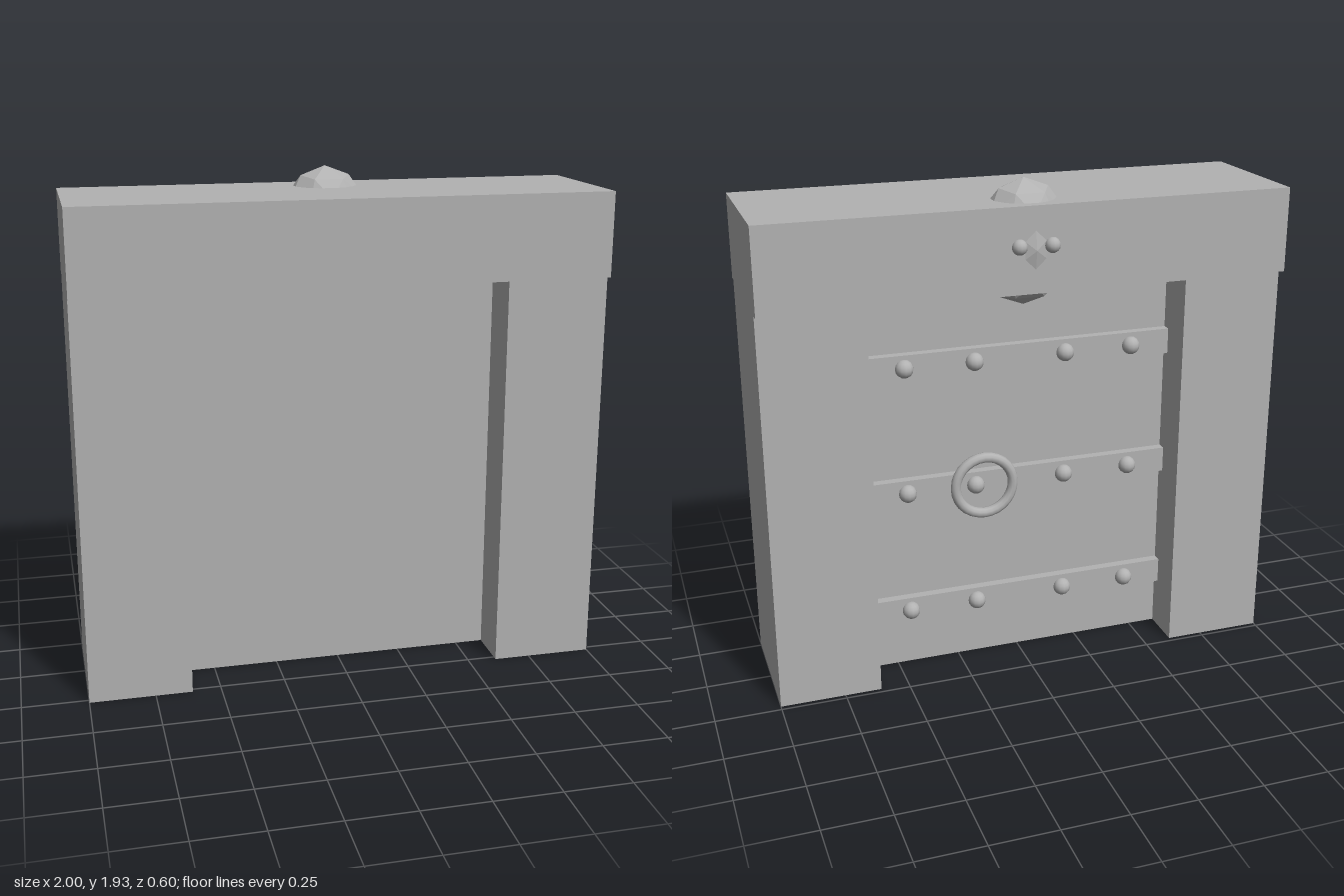
import * as THREE from 'three';

const stone = new THREE.MeshStandardMaterial({ color: 0xb2b2b2 });
stone.name = 'plain grey';
const faceted = stone.clone();
faceted.flatShading = true;

export function createModel() {
  const group = new THREE.Group();

  const add = (name, geometry, x, y, z, material = stone) => {
    const mesh = new THREE.Mesh(geometry, material);
    mesh.name = name;
    mesh.position.set(x, y, z);
    group.add(mesh);
    return mesh;
  };
  // Box given by its limits on each axis
  const box = (name, [x0, x1], [y0, y1], [z0, z1]) =>
    add(name, new THREE.BoxGeometry(x1 - x0, y1 - y0, z1 - z0),
      (x0 + x1) / 2, (y0 + y1) / 2, (z0 + z1) / 2);

  // Stone frame
  box('leftPillar', [0.61, 1], [0, 1.54], [-0.23, 0.27]);
  box('rightPillar', [-1, -0.61], [0, 1.54], [-0.23, 0.27]);
  box('lintel', [-1, 1], [1.54, 1.86], [-0.27, 0.3]);

  // Door leaf, with a gap under the lintel
  box('door', [-0.61, 0.61], [0, 1.5], [-0.06, 0.09]);

  // Iron bands with four studs each
  const studShape = new THREE.SphereGeometry(0.035, 12, 8);
  for (const y of [0.25, 0.75, 1.25]) {
    box('band', [-0.61, 0.61], [y - 0.05, y + 0.05], [-0.095, -0.06]);
    for (const x of [-0.45, -0.18, 0.18, 0.45]) add('stud', studShape, x, y, -0.1);
  }

  // Pull ring
  add('ring', new THREE.TorusGeometry(0.115, 0.02, 10, 28), 0.15, 0.75, -0.115);

  // Carved head set into the lintel, showing above, below and behind
  const head = add('carvedHead', new THREE.IcosahedronGeometry(1, 1), 0, 1.7, -0.13, faceted);
  head.scale.set(0.178, 0.235, 0.153);
  const eyeShape = new THREE.SphereGeometry(0.029, 12, 8);
  for (const side of [-1, 1]) add('eye', eyeShape, side * 0.062, 1.715, -0.272);

  return group;
}
